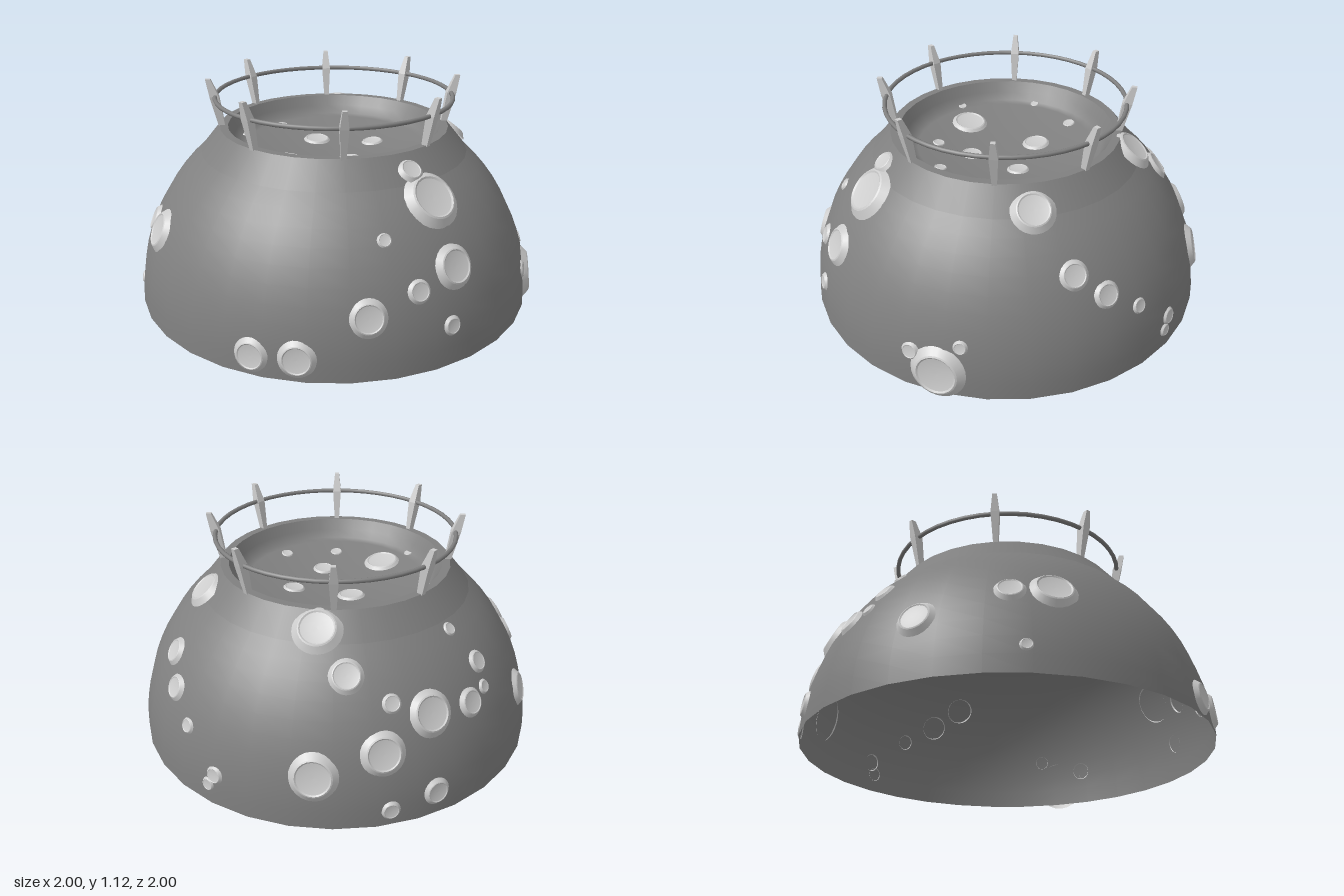
import * as THREE from 'three';
import { mergeGeometries } from 'three/addons/utils/BufferGeometryUtils.js';

const BASE = 0.025, SHOULDER = 0.77, RIM = 0.89;
const UP = new THREE.Vector3(0, 1, 0);
const paint = (color) => new THREE.MeshStandardMaterial({ color, side: THREE.DoubleSide });
const lightGrey = paint(0xcccccc), darkGrey = paint(0x808080);

const smoothLathe = (points, segments) =>
  new THREE.LatheGeometry(points.map(([x, y]) => new THREE.Vector2(x, y)), segments);

// Revolved profile with a sharp edge at every profile point
function creasedLathe(points, segments) {
  const bands = [];
  for (let i = 0; i < points.length - 1; i++) {
    bands.push(smoothLathe([points[i], points[i + 1]], segments));
  }
  return mergeGeometries(bands);
}

function addMesh(parent, name, geometry, material) {
  const mesh = new THREE.Mesh(geometry, material);
  mesh.name = name;
  parent.add(mesh);
  return mesh;
}

// Outer craters: [azimuth in degrees from the front towards +x, height, radius]
const domeCraters = [
  // front
  [-27, 0.45, 0.105], [-38.7, 0.44, 0.07], [-62.6, 0.32, 0.09], [-35, 0.15, 0.03],
  [19.4, 0.12, 0.08], [31.5, 0.13, 0.085],
  // left side (+x)
  [49.5, 0.31, 0.085], [64, 0.39, 0.055], [76.6, 0.45, 0.1], [77.5, 0.71, 0.135],
  [73.6, 0.81, 0.06], [56, 0.6, 0.035], [72.8, 0.21, 0.045], [114, 0.21, 0.045],
  [122, 0.135, 0.128], [128, 0.28, 0.035],
  // back
  [150.7, 0.79, 0.1], [160.7, 0.56, 0.07], [169.8, 0.45, 0.065], [180, 0.34, 0.04],
  [-168, 0.18, 0.045], [-170, 0.12, 0.035], [-140, 0.28, 0.11], [-141.5, 0.81, 0.11],
  [-130.8, 0.67, 0.08], [-121.5, 0.37, 0.1], [-120, 0.1, 0.045],
  // right side (-x)
  [-117.5, 0.56, 0.045], [-106, 0.49, 0.105], [-107, 0.14, 0.065], [-91, 0.465, 0.07],
  [-81.6, 0.59, 0.055], [-83.5, 0.49, 0.035], [-86, 0.74, 0.035],
];

// Floor craters: [x, z, radius]
const floorCraters = [
  [0.09, -0.2, 0.06], [-0.16, -0.05, 0.075], [-0.4, -0.04, 0.035], [0.16, 0.07, 0.06],
  [0.39, 0.02, 0.035], [-0.4, 0.23, 0.025], [0.24, 0.24, 0.035], [-0.02, 0.32, 0.1],
  [-0.08, 0.46, 0.025],
];

// Height of the shallow bowl that forms the pit floor
const floorHeight = (r) => 0.745 + 0.25 * r * r;

// Sloping skirt, narrow raised lip and smooth shallow dish
function craterGeometry(r) {
  const lip = creasedLathe([
    [1.05 * r, -0.06 * r - 0.005], [0.8 * r, 0.14 * r], [0.74 * r, 0.17 * r], [0.68 * r, 0.13 * r],
  ], 24);
  const dish = smoothLathe([[0.68 * r, 0.13 * r], [0.5 * r, 0.1 * r], [0.25 * r, 0.08 * r], [0, 0.075 * r]], 24);
  return mergeGeometries([lip, dish]);
}

function addCrater(parent, name, r, position, normal) {
  const crater = addMesh(parent, name, craterGeometry(r), lightGrey);
  crater.quaternion.setFromUnitVectors(UP, normal);
  crater.position.copy(position);
}

// Tapered railing post, widest at the rail; z is the radial direction
function postGeometry() {
  // [height, half width, inner radius, outer radius]
  const sections = [[0.87, 0.011, 0.54, 0.57], [1.035, 0.021, 0.567, 0.612], [1.122, 0.011, 0.605, 0.63]];
  const positions = [], index = [];
  for (const [y, w, a, b] of sections) {
    positions.push(-w, y, b, w, y, b, w, y, a, -w, y, a);
  }
  for (let s = 0; s < sections.length - 1; s++) {
    for (let i = 0; i < 4; i++) {
      const a = s * 4 + i, b = s * 4 + (i + 1) % 4;
      index.push(a, b, b + 4, a, b + 4, a + 4);
    }
  }
  const t = (sections.length - 1) * 4;
  index.push(t, t + 1, t + 2, t, t + 2, t + 3, 0, 2, 1, 0, 3, 2);
  const geometry = new THREE.BufferGeometry();
  geometry.setAttribute('position', new THREE.Float32BufferAttribute(positions, 3));
  geometry.setIndex(index);
  const flat = geometry.toNonIndexed();
  flat.computeVertexNormals();
  return flat;
}

function addGroup(parent, name) {
  const group = new THREE.Group();
  group.name = name;
  parent.add(group);
  return group;
}

export function createModel() {
  const model = new THREE.Group();
  model.name = 'crateredDome';

  // Open-bottomed dome shell, part of a unit sphere
  const profile = [];
  const end = Math.asin(SHOULDER - BASE);
  for (let i = 0; i <= 10; i++) {
    const a = end * i / 10;
    profile.push([Math.cos(a), BASE + Math.sin(a)]);
  }
  addMesh(model, 'domeShell', smoothLathe(profile, 32), darkGrey);

  // Collar and flat rim
  addMesh(model, 'rim', creasedLathe([[Math.cos(end), SHOULDER], [0.57, RIM], [0.53, RIM]], 32), darkGrey);

  // Pit wall running smoothly into the bowl-shaped floor
  const pit = [[0.53, RIM], [0.5, 0.84]];
  for (const r of [0.475, 0.44, 0.36, 0.27, 0.18, 0.09, 0]) pit.push([r, floorHeight(r)]);
  addMesh(model, 'pit', smoothLathe(pit, 32), darkGrey);

  // Craters on the dome, each facing along the sphere's normal; the collar stands slightly proud
  const outerCraters = addGroup(model, 'domeCraters');
  for (const [degrees, y, r] of domeCraters) {
    const azimuth = THREE.MathUtils.degToRad(degrees), h = y - BASE;
    const ring = Math.sqrt(1 - h * h);
    const normal = new THREE.Vector3(ring * Math.sin(azimuth), h, ring * Math.cos(azimuth));
    const lift = Math.max(0, y - 0.75) * 0.35;
    const position = normal.clone().multiplyScalar(1 + lift);
    position.y += BASE;
    addCrater(outerCraters, 'domeCrater', r, position, normal);
  }

  // Craters on the pit floor, tilted with the bowl
  const pitCraters = addGroup(model, 'floorCraters');
  for (const [x, z, r] of floorCraters) {
    const position = new THREE.Vector3(x, floorHeight(Math.hypot(x, z)), z);
    addCrater(pitCraters, 'floorCrater', r, position, new THREE.Vector3(-0.5 * x, 1, -0.5 * z).normalize());
  }

  // Railing: eight posts and a round rail
  const railing = addGroup(model, 'railing');
  const post = postGeometry();
  for (let i = 0; i < 8; i++) {
    addMesh(railing, 'railingPost', post, lightGrey).rotation.y = i * Math.PI / 4;
  }
  const rail = addMesh(railing, 'rail', new THREE.TorusGeometry(0.587, 0.011, 8, 48), darkGrey);
  rail.rotation.x = Math.PI / 2;
  rail.position.y = 1.035;

  return model;
}
